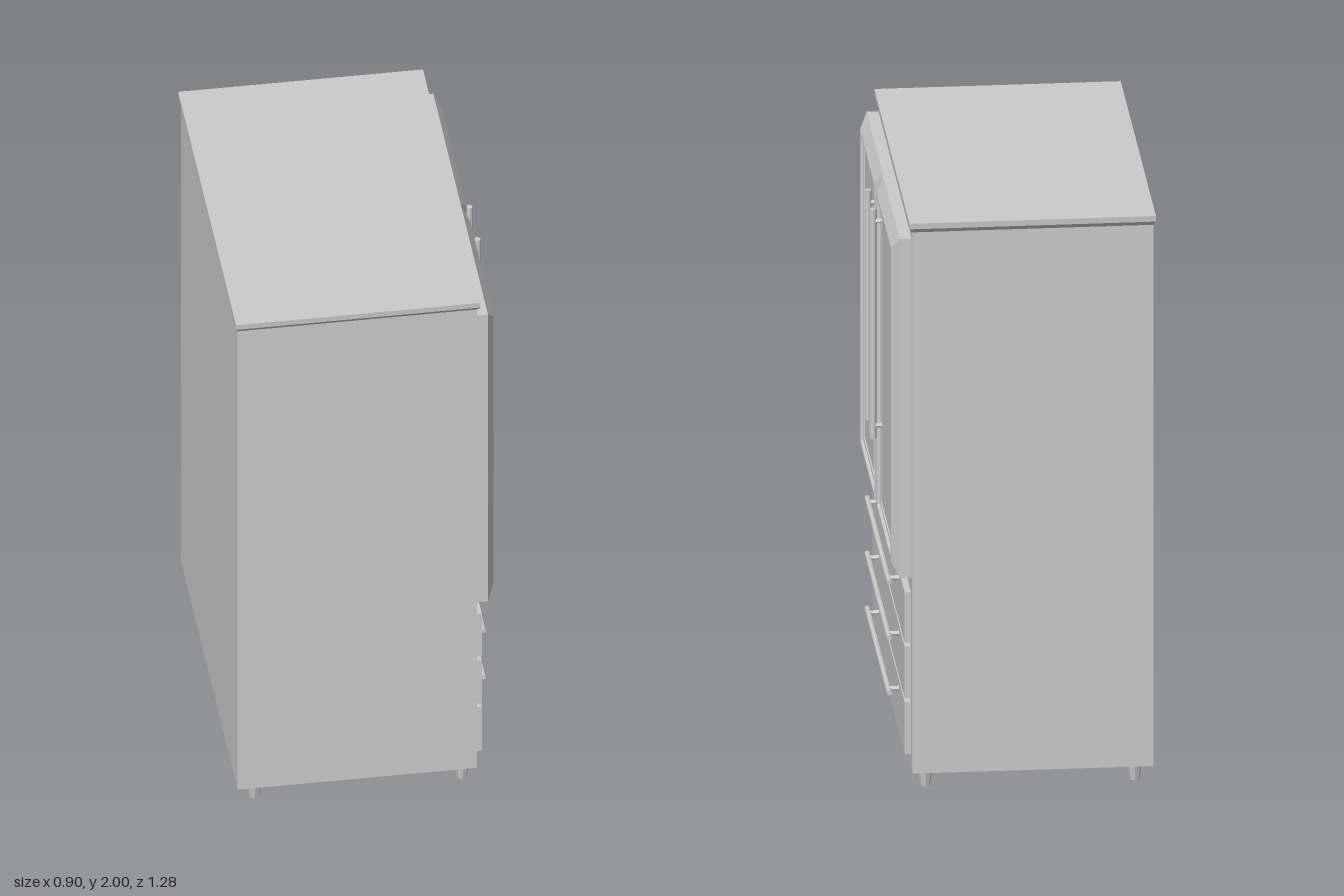
import * as THREE from 'three';

const material = new THREE.MeshStandardMaterial({ color: 0xcccccc, flatShading: true });

function add(parent, name, geometry, x = 0, y = 0, z = 0) {
  const mesh = new THREE.Mesh(geometry, material);
  mesh.name = name;
  mesh.position.set(x, y, z);
  parent.add(mesh);
  return mesh;
}

// Box given by its two corners
function block(parent, name, x0, x1, y0, y1, z0, z1) {
  return add(parent, name, new THREE.BoxGeometry(x1 - x0, y1 - y0, z1 - z0),
    (x0 + x1) / 2, (y0 + y1) / 2, (z0 + z1) / 2);
}

// Joins four-cornered sections (counter-clockwise from the far end) and caps both ends
function loft(sections) {
  const out = [];
  const quad = (a, b, c, d) => out.push(...a, ...b, ...c, ...a, ...c, ...d);
  for (let i = 0; i < sections.length - 1; i++) {
    const s = sections[i], t = sections[i + 1];
    for (let j = 0; j < 4; j++) {
      const k = (j + 1) % 4;
      quad(s[j], s[k], t[k], t[j]);
    }
  }
  const first = sections[0];
  quad(first[3], first[2], first[1], first[0]);
  quad(...sections[sections.length - 1]);
  const g = new THREE.BufferGeometry();
  g.setAttribute('position', new THREE.Float32BufferAttribute(out, 3));
  g.computeVertexNormals();
  return g;
}

// Bar handle with two standoffs; 'axis' is the bar direction
function handle(parent, name, axis, length, spacing, x, wallX, y, z, radius) {
  const group = new THREE.Group();
  group.name = name;
  group.position.set(x, y, z);
  const bar = add(group, 'handleBar', new THREE.CylinderGeometry(radius, radius, length, 8));
  if (axis === 'z') bar.rotation.x = Math.PI / 2;
  const reach = x - wallX + 0.006;
  for (const s of [-1, 1]) {
    const post = add(group, 'handlePost', new THREE.CylinderGeometry(0.008, 0.008, reach, 8), -reach / 2);
    post.rotation.z = Math.PI / 2;
    post.position[axis] = s * spacing / 2;
  }
  parent.add(group);
}

// Door with bevelled edges and a recessed panel
function door(parent, name, z0, z1) {
  const y0 = 0.735, y1 = 1.93;
  const ring = (x, d) => [
    [x, y0 + d, z1 - d], [x, y0 + d, z0 + d], [x, y1 - d, z0 + d], [x, y1 - d, z1 - d]];
  add(parent, name, loft([
    ring(0.35, 0), ring(0.394, 0), ring(0.42, 0.045),
    ring(0.42, 0.057), ring(0.41, 0.06), ring(0.41, 0.072), ring(0.406, 0.074)]));
}

export function createModel() {
  const model = new THREE.Group();
  model.name = 'cabinet';

  block(model, 'body', -0.445, 0.355, 0.055, 1.962, -0.628, 0.628);

  // Crown flaring out to a thin top slab
  const plan = (y, d) => [
    [-0.445 - d * 0.5, y, 0.628 + d], [0.355 + d * 0.8, y, 0.628 + d],
    [0.355 + d * 0.8, y, -0.628 - d], [-0.445 - d * 0.5, y, -0.628 - d]];
  add(model, 'crown', loft([
    plan(1.955, 0.002), plan(1.965, 0.002), plan(1.98, 0.013), plan(2, 0.014)]));

  // Upper doors with upright handles
  door(model, 'leftDoor', 0.01, 0.617);
  door(model, 'rightDoor', -0.597, 0.01);
  for (const z of [0.1, -0.078])
    handle(model, 'doorHandle', 'y', 0.81, 0.72, 0.436, 0.406, 1.443, z, 0.011);

  // Three drawers with long handles
  const drawers = [[0.498, 0.675, 0.648], [0.302, 0.483, 0.452], [0.105, 0.288, 0.258]];
  for (const [y0, y1, handleY] of drawers) {
    block(model, 'drawer', 0.35, 0.376, y0, y1, -0.573, 0.602);
    handle(model, 'drawerHandle', 'z', 0.81, 0.72, 0.411, 0.376, handleY, 0.002, 0.009);
  }

  // Tapered feet
  for (const x of [-0.385, 0.31])
    for (const z of [-0.593, 0.597])
      add(model, 'foot', new THREE.CylinderGeometry(0.025, 0.016, 0.056, 8), x, 0.028, z);

  return model;
}
